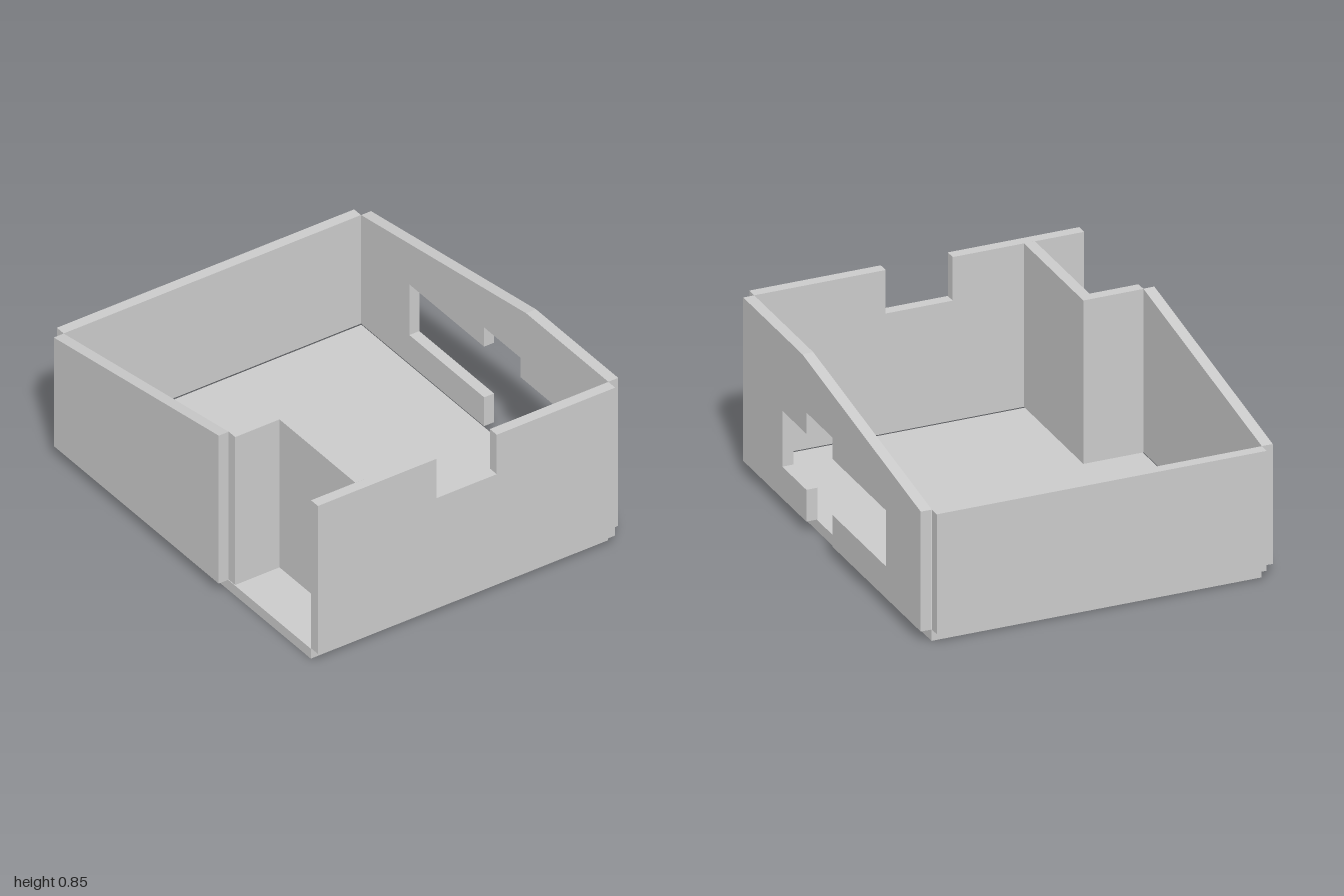
import * as THREE from 'three';

const T = 0.0525;       // panel thickness
const BASE = 0.0565;    // underside of the walls
const TOP = 0.845;      // full wall height
const LOW = 0.635;      // height at the back
const BEND = 0.317;     // z where the side walls start to slope

export function createModel() {
  const model = new THREE.Group();
  const material = new THREE.MeshStandardMaterial({ color: 0xcccccc, flatShading: true });

  const add = (name, geometry) => {
    const mesh = new THREE.Mesh(geometry, material);
    mesh.name = name;
    model.add(mesh);
  };

  // Axis-aligned panel between two corners
  const box = (name, [x0, y0, z0], [x1, y1, z1]) => add(name,
    new THREE.BoxGeometry(x1 - x0, y1 - y0, z1 - z0)
      .translate((x0 + x1) / 2, (y0 + y1) / 2, (z0 + z1) / 2));

  // Flat outline cut from sheet of thickness T
  const sheet = (points) => new THREE.ExtrudeGeometry(
    new THREE.Shape(points.map(([u, v]) => new THREE.Vector2(u, v))),
    { depth: T, bevelEnabled: false });

  // Outline given as [z, y], standing upright with its low-x face at x
  const sideSheet = (name, x, points) => add(name,
    sheet(points.map(([z, y]) => [-z, y])).rotateY(Math.PI / 2).translate(x, 0, 0));

  // Floor
  box('floor', [-0.787, 0, -0.944], [0.787, T, 0.946]);

  // Front wall with the notch in its top edge
  add('frontWall', sheet([
    [-0.787, BASE], [0.787, BASE], [0.787, TOP], [0.16, TOP],
    [0.16, LOW], [-0.16, LOW], [-0.16, TOP], [-0.787, TOP],
  ]).translate(0, 0, 1 - T));

  // Low back wall
  box('backWall', [-0.787, BASE, -1], [0.787, LOW, -1 + T]);

  // Left wall: sloped top, cross-shaped opening that runs out at the bottom
  sideSheet('leftWall', 0.84 - T, [
    [0.947, BASE], [0.947, TOP], [BEND, TOP], [-0.947, LOW], [-0.947, BASE],
    [-0.005, BASE], [-0.005, 0.21], [-0.577, 0.21], [-0.577, 0.48],
    [-0.005, 0.48], [-0.005, 0.583], [0.273, 0.583], [0.273, 0.48],
    [0.53, 0.48], [0.53, 0.21], [0.273, 0.21], [0.273, BASE],
  ]);

  // Shorter right wall, ending at the corner recess
  sideSheet('rightWall', -0.84, [
    [BEND, BASE], [BEND, TOP], [-0.947, LOW], [-0.947, BASE],
  ]);

  // Two inner walls around the corner recess
  box('recessBackWall', [-0.787, BASE, BEND - 0.003], [-0.5, TOP, BEND - 0.003 + T]);
  box('recessSideWall', [-0.5 - T, BASE, BEND - 0.003 + T], [-0.5, TOP, 0.947]);

  return model;
}
